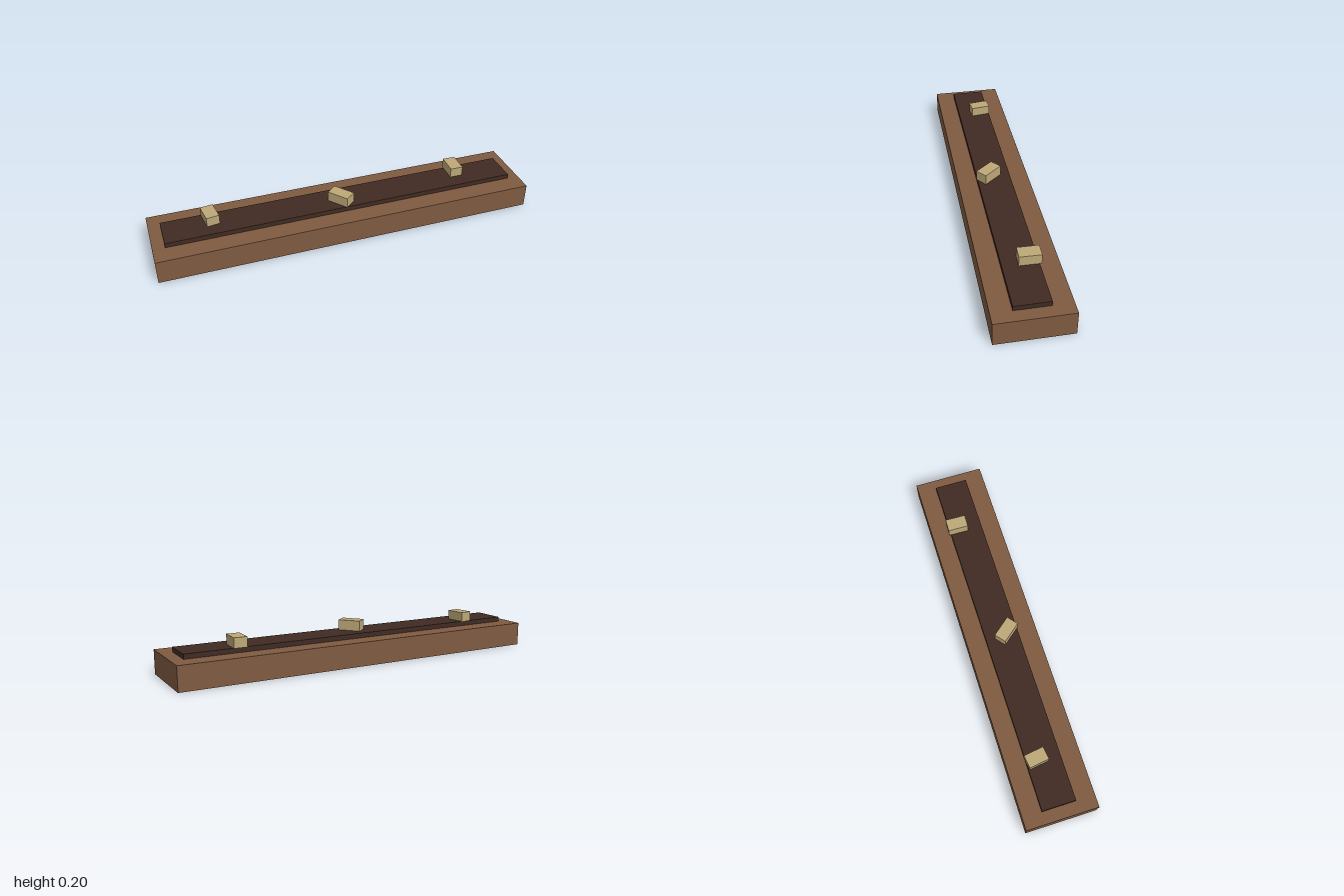
import * as THREE from 'three';

// Box standing on height y, without its underside
function openBox(w, h, d, y) {
  const g = new THREE.BoxGeometry(w, h, d);
  const index = Array.from(g.index.array);
  index.splice(18, 6); // the fourth face of a box is the bottom
  g.setIndex(index);
  g.clearGroups();
  g.translate(0, y + h / 2, 0);
  return g;
}

export function createModel() {
  const paint = (name, color) => {
    const m = new THREE.MeshStandardMaterial({ color, side: THREE.DoubleSide });
    m.name = name;
    return m;
  };
  const wood = paint('brown wood', 0x7f5b41);
  const dark = paint('dark soil', 0x402b23);
  const tan = paint('pale tan', 0xbda878);

  const model = new THREE.Group();
  model.name = 'woodenTrough';
  const add = (name, geometry, material) => {
    const mesh = new THREE.Mesh(geometry, material);
    mesh.name = name;
    model.add(mesh);
    return mesh;
  };

  // Hollow body, open below, with the raised bed on top
  add('body', openBox(2, 0.125, 0.375, 0), wood);
  add('bed', openBox(1.875, 0.025, 0.175, 0.125), dark);

  // Loose blocks lying on the bed: x, z, width, height, depth, turn
  const blocks = [
    [-0.69, -0.035, 0.067, 0.05, 0.104, 0.14],
    [-0.013, 0.026, 0.065, 0.054, 0.118, 0.69],
    [0.66, -0.044, 0.068, 0.052, 0.108, -0.02],
  ];
  blocks.forEach(([x, z, w, h, d, turn], i) => {
    const block = add(`block${i + 1}`, openBox(w, h, d, 0.15), tan);
    block.position.set(x, 0, z);
    block.rotation.y = turn;
  });
  return model;
}
